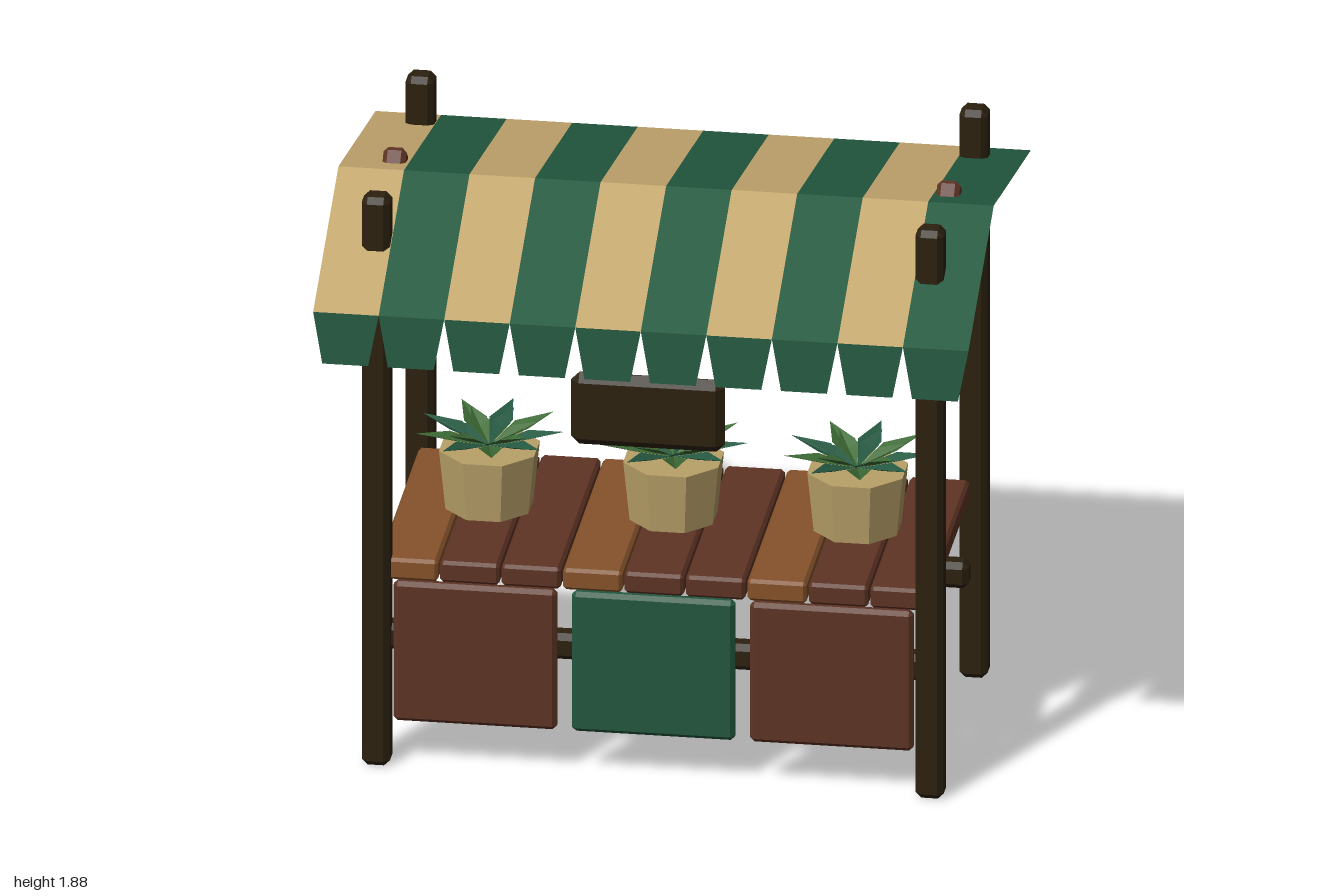
import * as THREE from 'three';
import { ConvexGeometry } from 'three/addons/geometries/ConvexGeometry.js';

const mat = (name, color, extra = {}) => {
  const m = new THREE.MeshStandardMaterial({ color, ...extra });
  m.name = name;
  return m;
};

// Box with every edge chamfered by c
function chamferBox(w, h, d, c) {
  const pts = [];
  for (const sx of [-1, 1]) for (const sy of [-1, 1]) for (const sz of [-1, 1]) {
    const x = w / 2, y = h / 2, z = d / 2;
    pts.push(
      new THREE.Vector3(sx * x, sy * (y - c), sz * (z - c)),
      new THREE.Vector3(sx * (x - c), sy * y, sz * (z - c)),
      new THREE.Vector3(sx * (x - c), sy * (y - c), sz * z));
  }
  return new ConvexGeometry(pts);
}

// Flat four-cornered sheet, corners counter-clockwise
function quad(a, b, c, d) {
  const g = new THREE.BufferGeometry();
  g.setAttribute('position', new THREE.Float32BufferAttribute([...a, ...b, ...c, ...d], 3));
  g.setIndex([0, 1, 2, 0, 2, 3]);
  g.computeVertexNormals();
  return g;
}

// Folded pointed leaf growing along +x from the centre
function leafGeometry(length, width, tipY) {
  const root = [0, 0, 0], tip = [length, tipY, 0];
  const left = [length * 0.5, tipY * 0.72, -width / 2];
  const right = [length * 0.5, tipY * 0.72, width / 2];
  const rib = [length * 0.5, tipY * 0.45, 0];
  const g = new THREE.BufferGeometry();
  g.setAttribute('position', new THREE.Float32BufferAttribute(
    [root, rib, left, rib, tip, left, root, right, rib, rib, right, tip].flat(), 3));
  g.computeVertexNormals();
  return g;
}

export function createModel() {
  const model = new THREE.Group();
  model.name = 'marketStall';
  const two = { side: THREE.DoubleSide };
  const darkWood = mat('dark wood', 0x2c210f);
  const brownWood = mat('brown wood', 0x5e3424);
  const lightWood = mat('light wood', 0x85522a);
  const greenPaint = mat('green paint', 0x23573f);
  const greenCloth = mat('green cloth', 0x23593f, two);
  const creamCloth = mat('cream cloth', 0xc4a76e, two);
  const clay = mat('pale clay', 0xb8a068, two);
  const leafDark = mat('dark leaf', 0x265a42, two);
  const leafLight = mat('light leaf', 0x3d6b35, two);

  const add = (name, geometry, material, x = 0, y = 0, z = 0, parent = model) => {
    const m = new THREE.Mesh(geometry, material);
    m.name = name;
    m.position.set(x, y, z);
    parent.add(m);
    return m;
  };

  // Posts and slanted braces
  const postGeo = chamferBox(0.086, 1.875, 0.086, 0.018);
  const low = new THREE.Vector2(0.36, 1.428), high = new THREE.Vector2(-0.032, 1.847);
  const braceGeo = chamferBox(0.07, low.distanceTo(high), 0.07, 0.014);
  for (const s of [-1, 1]) {
    add('frontPost', postGeo, darkWood, s * 0.845, 0.9375, 0.365);
    add('backPost', postGeo, darkWood, s * 0.845, 0.9375, -0.542);
    const brace = add('brace', braceGeo, brownWood, s * 0.845, (low.y + high.y) / 2, (low.x + high.x) / 2);
    brace.rotation.x = Math.atan2(high.x - low.x, high.y - low.y);
  }

  // Long rails under the table
  const railGeo = chamferBox(1.71, 0.085, 0.075, 0.018);
  add('frontRail', railGeo, darkWood, 0, 0.41, 0.326);
  add('backRail', railGeo, darkWood, 0, 0.41, -0.37);

  // Table planks
  const plankGeo = chamferBox(0.181, 0.07, 0.84, 0.01);
  for (let k = -4; k <= 4; k++) {
    add('plank', plankGeo, (k + 4) % 3 === 0 ? lightWood : brownWood, k * 0.1875, 0.64, -0.05);
  }

  // Front panels
  const panelGeo = chamferBox(0.498, 0.46, 0.04, 0.013);
  for (const k of [-1, 0, 1]) {
    add('frontPanel', panelGeo, k === 0 ? greenPaint : brownWood, k * 0.544, 0.376, 0.368);
  }

  // Hanging sign board
  add('signBoard', chamferBox(0.47, 0.236, 0.056, 0.026), darkWood, 0, 1.264, 0.486);

  // Striped awning with scalloped flaps
  const back = [1.692, -0.652], ridge = [1.846, 0.114], eave = [1.595, 0.637], hem = [1.433, 0.652];
  for (let i = 0; i < 10; i++) {
    const x0 = -1 + i * 0.2, x1 = x0 + 0.2;
    const cloth = i % 2 ? greenCloth : creamCloth;
    add('awningBack', quad([x0, ...ridge], [x1, ...ridge], [x1, ...back], [x0, ...back]), cloth);
    add('awningFront', quad([x0, ...eave], [x1, ...eave], [x1, ...ridge], [x0, ...ridge]), cloth);
    add('awningFlap', quad([x0 + 0.03, ...hem], [x1 - 0.03, ...hem], [x1, ...eave], [x0, ...eave]), greenCloth);
  }

  // Potted plants
  const potGeo = new THREE.CylinderGeometry(0.157, 0.137, 0.193, 8, 1).toNonIndexed();
  potGeo.rotateY(Math.PI / 8);
  potGeo.computeVertexNormals();
  const rings = [
    { count: 9, length: 0.228, width: 0.075, tipY: 0.06, turn: 0 },
    { count: 7, length: 0.15, width: 0.06, tipY: 0.066, turn: 0.3 },
  ];
  for (const k of [-1, 0, 1]) {
    const plant = new THREE.Group();
    plant.name = 'pottedPlant';
    plant.position.set(k * 0.562, 0.69, -0.04);
    add('pot', potGeo, clay, 0, 0.0965, 0, plant);
    rings.forEach((r, ring) => {
      const geo = leafGeometry(r.length, r.width, r.tipY);
      for (let i = 0; i < r.count; i++) {
        const leaf = add('leaf', geo, (i + ring) % 2 ? leafLight : leafDark, 0, 0.194 + ring * 0.003, 0, plant);
        leaf.rotation.y = r.turn + (i / r.count) * Math.PI * 2;
      }
    });
    model.add(plant);
  }
  return model;
}
